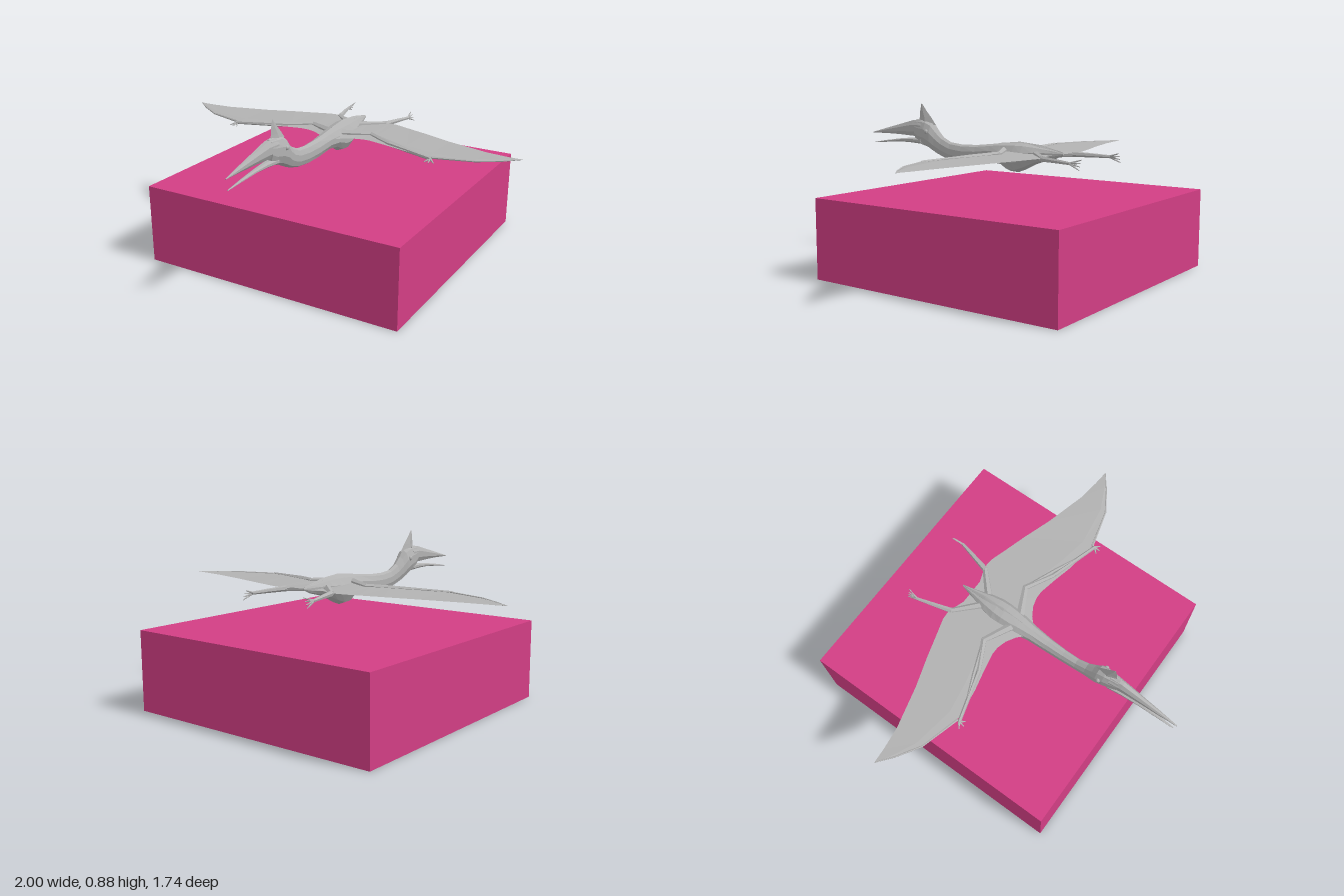
import * as THREE from 'three';

const grey = new THREE.MeshStandardMaterial({ color: 0xb2b2b2, flatShading: true, side: THREE.DoubleSide });
grey.name = 'stone grey';
const pink = new THREE.MeshStandardMaterial({ color: 0xd23e84 });
pink.name = 'base pink';

const V = (x, y, z) => new THREE.Vector3(x, y, z);

function add(parent, name, geometry, material = grey) {
  const mesh = new THREE.Mesh(geometry, material);
  mesh.name = name;
  parent.add(mesh);
  return mesh;
}

// Closed skin over rings of equal point count, each counter-clockwise seen from the end
function loft(rings) {
  const n = rings[0].length, last = (rings.length - 1) * n, index = [];
  for (let i = 0; i < rings.length - 1; i++) {
    for (let j = 0; j < n; j++) {
      const k = (j + 1) % n, a = i * n + j, b = i * n + k;
      index.push(a, b, b + n, a, b + n, a + n);
    }
  }
  for (let j = 1; j < n - 1; j++) {
    index.push(0, j + 1, j, last, last + j, last + j + 1);
  }
  const g = new THREE.BufferGeometry().setFromPoints(rings.flat());
  g.setIndex(index);
  g.computeVertexNormals();
  return g;
}

// Elliptical sections along z: [z, top, bottom, halfWidth]
function bodyLoft(stations, sides) {
  return loft(stations.map(([z, top, bottom, w]) => Array.from({ length: sides }, (_, j) => {
    const a = ((j + 0.5) / sides) * Math.PI * 2;
    return V(w * Math.cos(a), (top + bottom) / 2 + ((top - bottom) / 2) * Math.sin(a) * 1.03, z);
  })));
}

// Tapered limb segment between two points
function bone(parent, name, a, b, r1, r2) {
  const dir = b.clone().sub(a);
  const mesh = add(parent, name, new THREE.CylinderGeometry(r2, r1, dir.length(), 6));
  mesh.position.copy(a).add(b).multiplyScalar(0.5);
  mesh.quaternion.setFromUnitVectors(V(0, 1, 0), dir.normalize());
}

// Chain of bones through [x, y, z, radius], mirrored by side s
function limb(parent, name, s, points) {
  for (let i = 0; i < points.length - 1; i++) {
    const [x, y, z, r] = points[i], [x2, y2, z2, r2] = points[i + 1];
    bone(parent, name, V(s * x, y, z), V(s * x2, y2, z2), r, r2);
    const joint = add(parent, name + 'Joint', new THREE.IcosahedronGeometry(r2, 0));
    joint.position.set(s * x2, y2, z2);
  }
}

export function createModel() {
  const model = new THREE.Group();
  model.name = 'flyingReptileOnBase';

  const base = add(model, 'base', new THREE.BoxGeometry(1.456, 0.425, 1.456), pink);
  base.position.set(0, 0.2125, -0.146);

  // Tail, trunk, neck and skull in one skin
  add(model, 'body', bodyLoft([
    [-0.445, 0.655, 0.645, 0.004],
    [-0.4, 0.665, 0.625, 0.015],
    [-0.34, 0.675, 0.61, 0.032],
    [-0.28, 0.685, 0.59, 0.052],
    [-0.22, 0.693, 0.56, 0.066],
    [-0.17, 0.695, 0.542, 0.07],
    [-0.12, 0.692, 0.546, 0.066],
    [-0.07, 0.687, 0.575, 0.055],
    [0, 0.678, 0.583, 0.042],
    [0.1, 0.667, 0.569, 0.034],
    [0.2, 0.664, 0.566, 0.029],
    [0.28, 0.672, 0.575, 0.027],
    [0.34, 0.7, 0.592, 0.03],
    [0.38, 0.737, 0.607, 0.037],
    [0.41, 0.772, 0.622, 0.044],
    [0.45, 0.788, 0.642, 0.042],
    [0.5, 0.79, 0.655, 0.033],
    [0.53, 0.79, 0.68, 0.028],
  ], 10), grey);

  // Open beak
  add(model, 'upperBeak', bodyLoft([
    [0.48, 0.79, 0.69, 0.034],
    [0.55, 0.788, 0.695, 0.026],
    [0.65, 0.762, 0.7, 0.019],
    [0.76, 0.734, 0.702, 0.012],
    [0.87, 0.705, 0.701, 0.003],
  ], 8));
  add(model, 'lowerBeak', bodyLoft([
    [0.48, 0.69, 0.653, 0.031],
    [0.56, 0.687, 0.658, 0.022],
    [0.65, 0.678, 0.659, 0.015],
    [0.76, 0.663, 0.651, 0.009],
    [0.86, 0.646, 0.643, 0.003],
  ], 8));

  // Head crest: thin blade leaning backwards
  const crestRing = (z, y, w, front) => [V(w, y, z), V(0, y, front), V(-w, y, z), V(0, y, z - (front - z))];
  add(model, 'crest', loft([
    crestRing(0.455, 0.765, 0.018, 0.52),
    crestRing(0.465, 0.805, 0.011, 0.507),
    crestRing(0.48, 0.84, 0.006, 0.504),
    crestRing(0.492, 0.88, 0.001, 0.495),
  ].map((ring) => ring.reverse())));

  // Low ridge along the back
  add(model, 'backRidge', bodyLoft([
    [-0.44, 0.66, 0.64, 0.003],
    [-0.3, 0.69, 0.65, 0.012],
    [-0.18, 0.7, 0.65, 0.018],
    [-0.06, 0.688, 0.65, 0.01],
  ], 6));

  for (const s of [1, -1]) {
    const side = new THREE.Group();
    side.name = s > 0 ? 'leftSide' : 'rightSide';
    model.add(side);

    const eye = add(side, 'eye', new THREE.SphereGeometry(0.013, 8, 6));
    eye.position.set(s * 0.038, 0.728, 0.43);

    // Wing membrane stations: [x, leading z, trailing z, y, half thickness]
    add(side, 'wingMembrane', loft([
      [0.02, 0.0, -0.39, 0.642, 0.012],
      [0.07, -0.05, -0.39, 0.642, 0.011],
      [0.12, -0.08, -0.408, 0.642, 0.009],
      [0.17, -0.094, -0.42, 0.642, 0.008],
      [0.21, -0.095, -0.417, 0.642, 0.007],
      [0.3, -0.078, -0.39, 0.641, 0.006],
      [0.42, -0.05, -0.355, 0.64, 0.005],
      [0.58, -0.03, -0.303, 0.638, 0.004],
      [0.8, -0.087, -0.247, 0.637, 0.003],
      [0.92, -0.162, -0.232, 0.638, 0.003],
      [1, -0.222, -0.226, 0.64, 0.001],
    ].map(([x, lead, trail, y, t]) => {
      const mid = lead + (trail - lead) * 0.2;
      const ring = [V(s * x, y + t, mid), V(s * x, y, lead), V(s * x, y - t, mid), V(s * x, y, trail)];
      return s > 0 ? ring : ring.reverse();
    })));

    // Arm, wrist and wing finger
    limb(side, 'arm', s, [
      [0.03, 0.65, -0.1, 0.024], [0.18, 0.647, -0.175, 0.016],
      [0.33, 0.643, -0.095, 0.012], [0.59, 0.636, -0.018, 0.009],
    ]);
    limb(side, 'wingFinger', s, [
      [0.19, 0.647, -0.17, 0.012], [0.36, 0.643, -0.105, 0.009], [0.51, 0.64, -0.04, 0.006],
    ]);
    limb(side, 'wingEdge', s, [
      [0.59, 0.637, -0.03, 0.007], [0.8, 0.637, -0.088, 0.005], [0.92, 0.638, -0.163, 0.004], [0.995, 0.64, -0.222, 0.002],
    ]);
    for (const [dx, dz] of [[-0.02, 0.02], [0.005, 0.025], [0.03, 0.015]]) {
      bone(side, 'handClaw', V(s * 0.592, 0.634, -0.02), V(s * (0.592 + dx), 0.622, -0.012 + dz), 0.007, 0.002);
    }

    // Hind leg trailing behind, with spread toes
    limb(side, 'leg', s, [
      [0.03, 0.64, -0.3, 0.022], [0.145, 0.638, -0.41, 0.015],
      [0.175, 0.635, -0.52, 0.011], [0.196, 0.632, -0.6, 0.008],
    ]);
    for (const [dx, y] of [[-0.012, 0.652], [-0.002, 0.636], [0.004, 0.62], [0.01, 0.604]]) {
      bone(side, 'toe', V(s * 0.196, 0.632, -0.595), V(s * (0.196 + dx), y, -0.658), 0.006, 0.002);
    }
  }
  return model;
}
